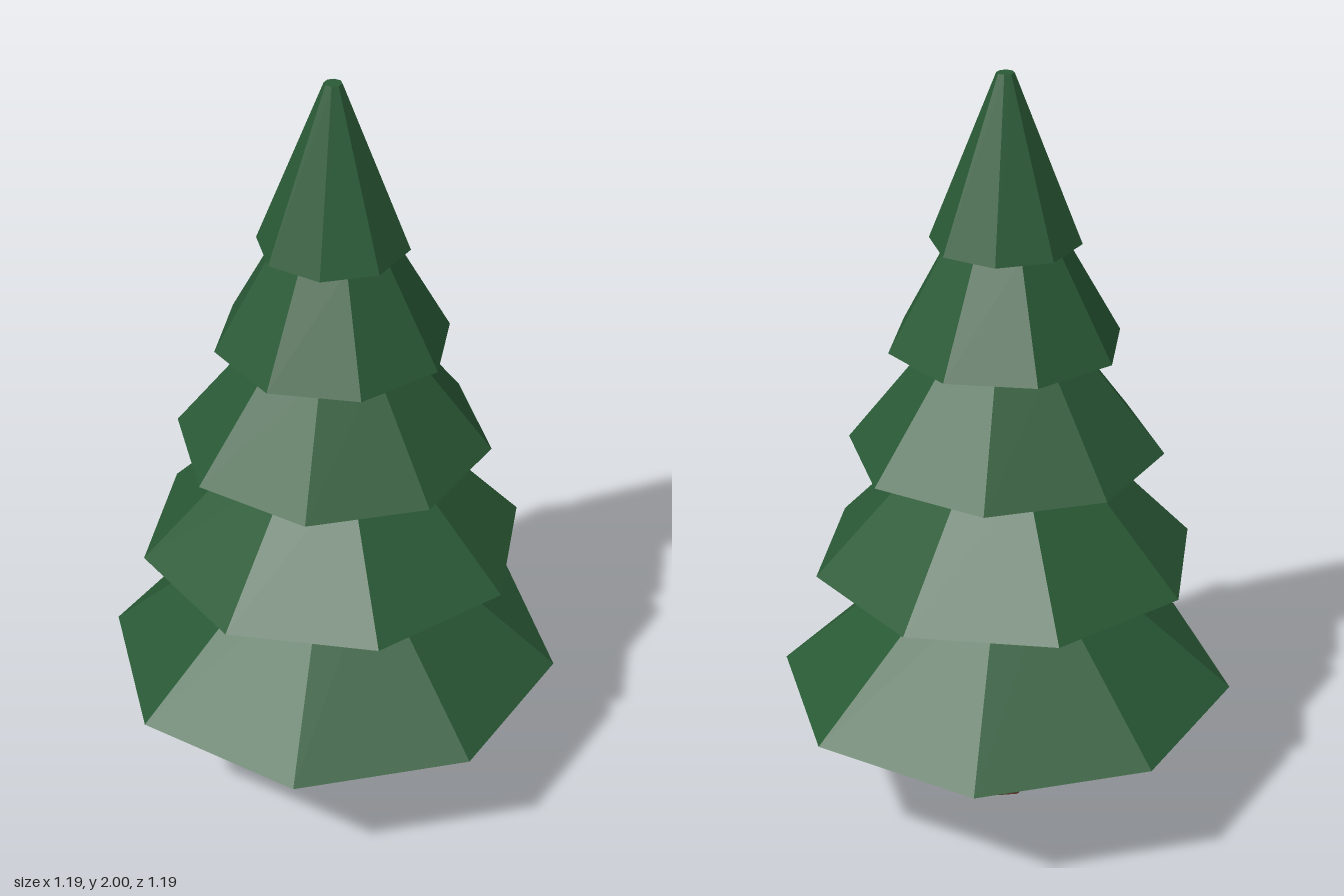
import * as THREE from 'three';

export function createModel() {
  const tree = new THREE.Group();
  tree.name = 'pineTree';

  const needleGreen = new THREE.MeshStandardMaterial({ color: 0x2a5a36, flatShading: true });
  needleGreen.name = 'needle green';
  const barkBrown = new THREE.MeshStandardMaterial({ color: 0x5a3a25, flatShading: true });
  barkBrown.name = 'bark brown';

  // Tapered, flat-faceted frustum standing between two heights
  function frustum(name, material, sides, rBottom, rTop, yBottom, yTop, turn) {
    const geometry = new THREE.CylinderGeometry(rTop, rBottom, yTop - yBottom, sides);
    const mesh = new THREE.Mesh(geometry, material);
    mesh.name = name;
    mesh.position.y = (yBottom + yTop) / 2;
    mesh.rotation.y = turn;
    tree.add(mesh);
  }

  // Six-sided trunk, corners pointing left and right
  frustum('trunk', barkBrown, 6, 0.055, 0.042, 0, 0.37, Math.PI / 2);

  // Eight-sided branch tiers, every other one turned by half a side
  const tiers = [
    // bottom radius, top radius, bottom y, top y
    [0.593, 0.18, 0.36, 0.725],
    [0.497, 0.2, 0.72, 1.035],
    [0.402, 0.18, 1.03, 1.315],
    [0.297, 0.146, 1.315, 1.585],
    [0.188, 0.022, 1.58, 2],
  ];
  tiers.forEach(([rBottom, rTop, yBottom, yTop], i) => {
    const turn = (i % 2) * Math.PI / 8;
    frustum(`branchTier${i + 1}`, needleGreen, 8, rBottom, rTop, yBottom, yTop, turn);
  });

  return tree;
}
